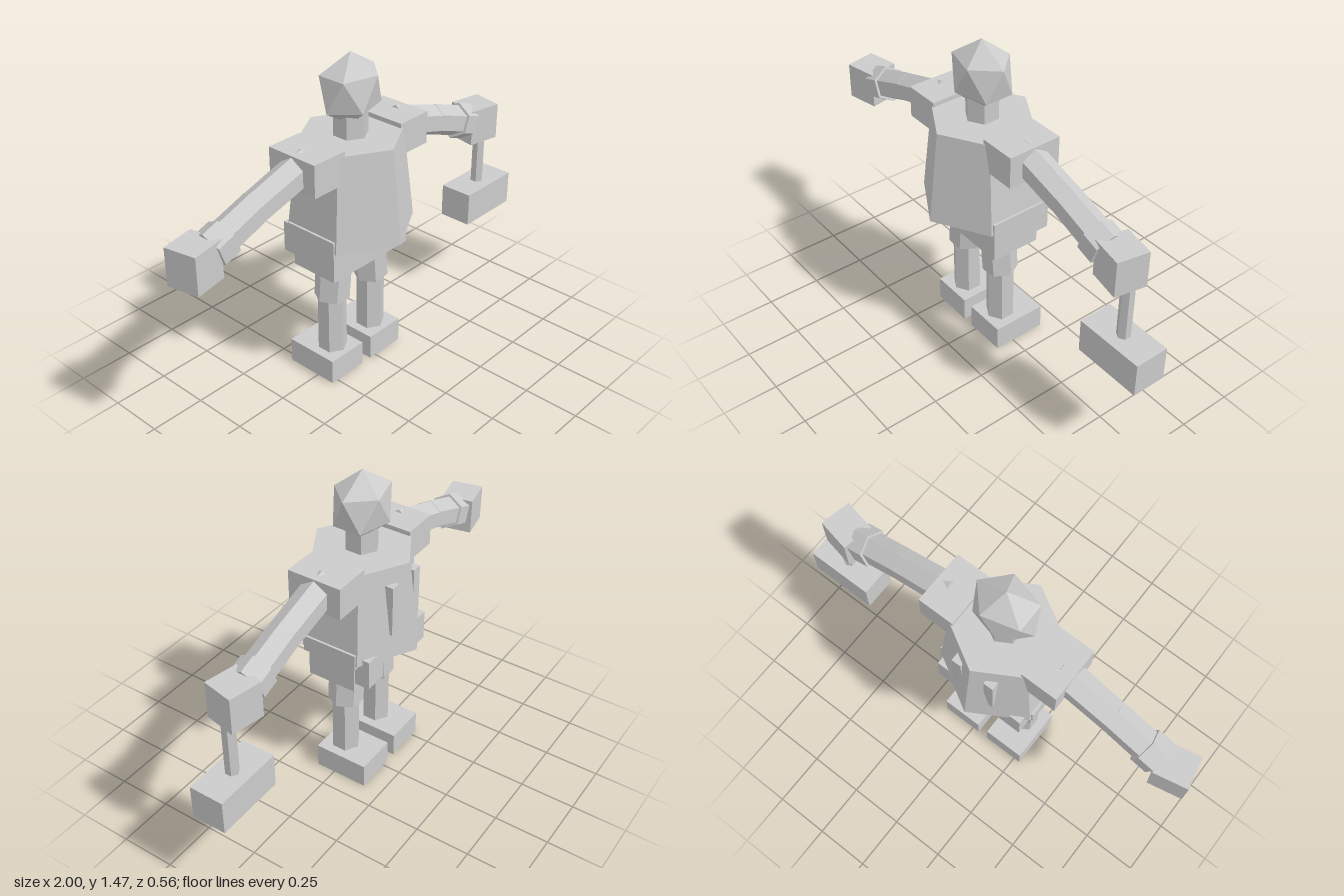
import * as THREE from 'three';

const material = new THREE.MeshStandardMaterial({ color: 0xcccccc, flatShading: true });

function add(parent, name, geometry, x, y, z) {
  const mesh = new THREE.Mesh(geometry, material);
  mesh.name = name;
  mesh.position.set(x, y, z);
  parent.add(mesh);
  return mesh;
}

const box = (parent, name, w, h, d, x, y, z) =>
  add(parent, name, new THREE.BoxGeometry(w, h, d), x, y, z);

// Upright six-sided prism with corners facing front and back
const prism = (parent, name, rTop, rBottom, y0, y1, x) =>
  add(parent, name, new THREE.CylinderGeometry(rTop, rBottom, y1 - y0, 6), x, (y0 + y1) / 2, 0);

// Six-sided limb segment between two points in the XY plane, corners in that plane
function limb(parent, name, r0, r1, x0, y0, x1, y1) {
  const length = Math.hypot(x1 - x0, y1 - y0);
  const geometry = new THREE.CylinderGeometry(r1, r0, length, 6, 1, false, Math.PI / 6);
  const mesh = add(parent, name, geometry, (x0 + x1) / 2, (y0 + y1) / 2, 0);
  mesh.rotation.z = Math.atan2(y1 - y0, x1 - x0) - Math.PI / 2;
  return mesh;
}

export function createModel() {
  const model = new THREE.Group();
  model.name = 'blockFigure';
  const body = new THREE.Group();
  body.name = 'body';
  body.position.x = -0.06;
  model.add(body);

  // Trunk
  prism(body, 'torso', 0.23, 0.28, 0.69, 1.11, 0);
  box(body, 'belt', 0.495, 0.075, 0.26, 0, 0.707, 0);
  box(body, 'pelvis', 0.46, 0.145, 0.23, 0, 0.612, 0);
  prism(body, 'neck', 0.075, 0.075, 1.08, 1.22, 0);

  // Faceted head standing on one corner, narrowed front to back
  const headShape = new THREE.IcosahedronGeometry(0.157, 0);
  headShape.rotateZ(-Math.atan(2 / (1 + Math.sqrt(5))));
  headShape.scale(1, 1, 0.8);
  add(body, 'head', headShape, 0, 1.308, 0);

  for (const s of [-1, 1]) {
    const side = s > 0 ? 'left' : 'right';

    // Arm
    box(body, side + 'Shoulder', 0.17, 0.145, 0.25, s * 0.255, 1.058, 0);
    limb(body, side + 'UpperArm', 0.073, 0.07, s * 0.26, 1.072, s * 0.535, 0.988);
    limb(body, side + 'Forearm', 0.07, 0.072, s * 0.525, 0.993, s * 0.77, 0.903);
    limb(body, side + 'Cuff', 0.084, 0.084, s * 0.698, 0.929, s * 0.775, 0.901);
    box(body, side + 'Hand', 0.154, 0.168, 0.145, s * 0.85, 0.881, 0).rotation.y = -s * 0.2;

    // Leg
    limb(body, side + 'Thigh', 0.08, 0.078, s * 0.105, 0.6, s * 0.125, 0.375);
    prism(body, side + 'Shin', 0.065, 0.065, 0.1, 0.4, s * 0.124);
    box(body, side + 'Foot', 0.195, 0.115, 0.253, s * 0.124, 0.0575, -0.037);

    // Gear on the back
    box(body, side + 'Pouch', 0.11, 0.14, 0.075, s * 0.165, 0.647, -0.147);
    box(body, side + 'BackSlat', 0.045, 0.235, 0.04, s * 0.08, 0.918, -0.199);
  }

  // Hammer hanging from the left hand
  const hammer = new THREE.Group();
  hammer.name = 'hammer';
  model.add(hammer);
  prism(hammer, 'hammerHandle', 0.03, 0.03, 0.5, 0.86, 0.837);
  box(hammer, 'hammerHead', 0.32, 0.158, 0.158, 0.836, 0.469, 0);

  return model;
}
